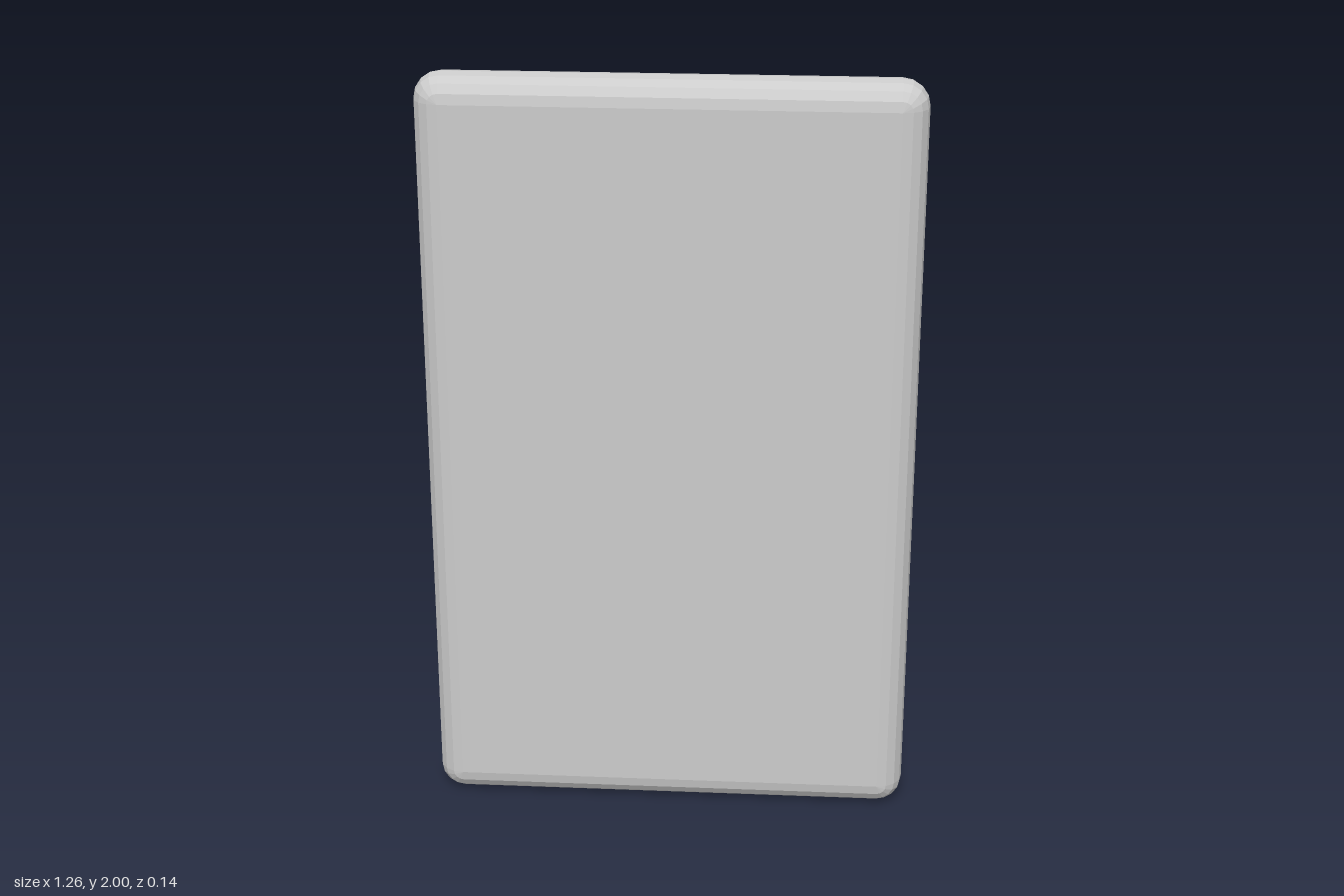
import * as THREE from 'three';

const HALF_W = 0.63, HALF_H = 1, HALF_D = 0.071, R = 0.068;
const STEPS = 4; // facets per quarter round

// Cross-section at depth z: a rectangle of half size w x h whose corners are rounded by r
function ring(w, h, r, z) {
  const points = [];
  [[1, 1], [-1, 1], [-1, -1], [1, -1]].forEach(([sx, sy], corner) => {
    for (let i = 0; i <= STEPS; i++) {
      const a = (corner + i / STEPS) * Math.PI / 2;
      points.push([sx * w + r * Math.cos(a), sy * h + r * Math.sin(a), z]);
    }
  });
  return points;
}

// Skin consecutive rings (ordered front to back), skipping collapsed triangles
function loft(rings) {
  const pos = [];
  const same = (a, b) => a.every((v, i) => Math.abs(v - b[i]) < 1e-7);
  const tri = (a, b, c) => {
    if (!same(a, b) && !same(b, c) && !same(c, a)) pos.push(...a, ...b, ...c);
  };
  const n = rings[0].length;
  for (let k = 0; k < rings.length - 1; k++) {
    for (let i = 0; i < n; i++) {
      const j = (i + 1) % n, f = rings[k], b = rings[k + 1];
      tri(f[i], b[i], b[j]);
      tri(f[i], b[j], f[j]);
    }
  }
  const geometry = new THREE.BufferGeometry();
  geometry.setAttribute('position', new THREE.Float32BufferAttribute(pos, 3));
  geometry.computeVertexNormals();
  return geometry;
}

export function createModel() {
  const group = new THREE.Group();
  group.name = 'slab';
  const material = new THREE.MeshStandardMaterial({ color: 0xcccccc, flatShading: true });
  const add = (name, geometry) => {
    const mesh = new THREE.Mesh(geometry, material);
    mesh.name = name;
    mesh.position.y = HALF_H;
    group.add(mesh);
  };

  const w = HALF_W - R, h = HALF_H - R, straight = HALF_D - R;

  // Flat front and fully rounded edge
  const body = [ring(0, 0, 0, HALF_D)];
  for (const side of [1, -1]) {
    for (let i = 0; i <= STEPS; i++) {
      const t = (side > 0 ? STEPS - i : i) / STEPS * Math.PI / 2;
      body.push(ring(w, h, R * Math.cos(t), side * (straight + R * Math.sin(t))));
    }
  }
  add('body', loft(body));

  // Back: narrow rim, sloped walls and a shallow sunken floor
  const rim = 0.008, slope = 0.066, depth = 0.022;
  const edge = ring(w - rim, h - rim, 0, -HALF_D);
  const floor = ring(w - rim - slope, h - rim - slope, 0, -HALF_D + depth);
  add('backRim', loft([ring(w, h, 0, -HALF_D), edge]));
  add('recessWalls', loft([edge, floor]));
  add('recessFloor', loft([floor, ring(0, 0, 0, -HALF_D + depth)]));

  return group;
}
